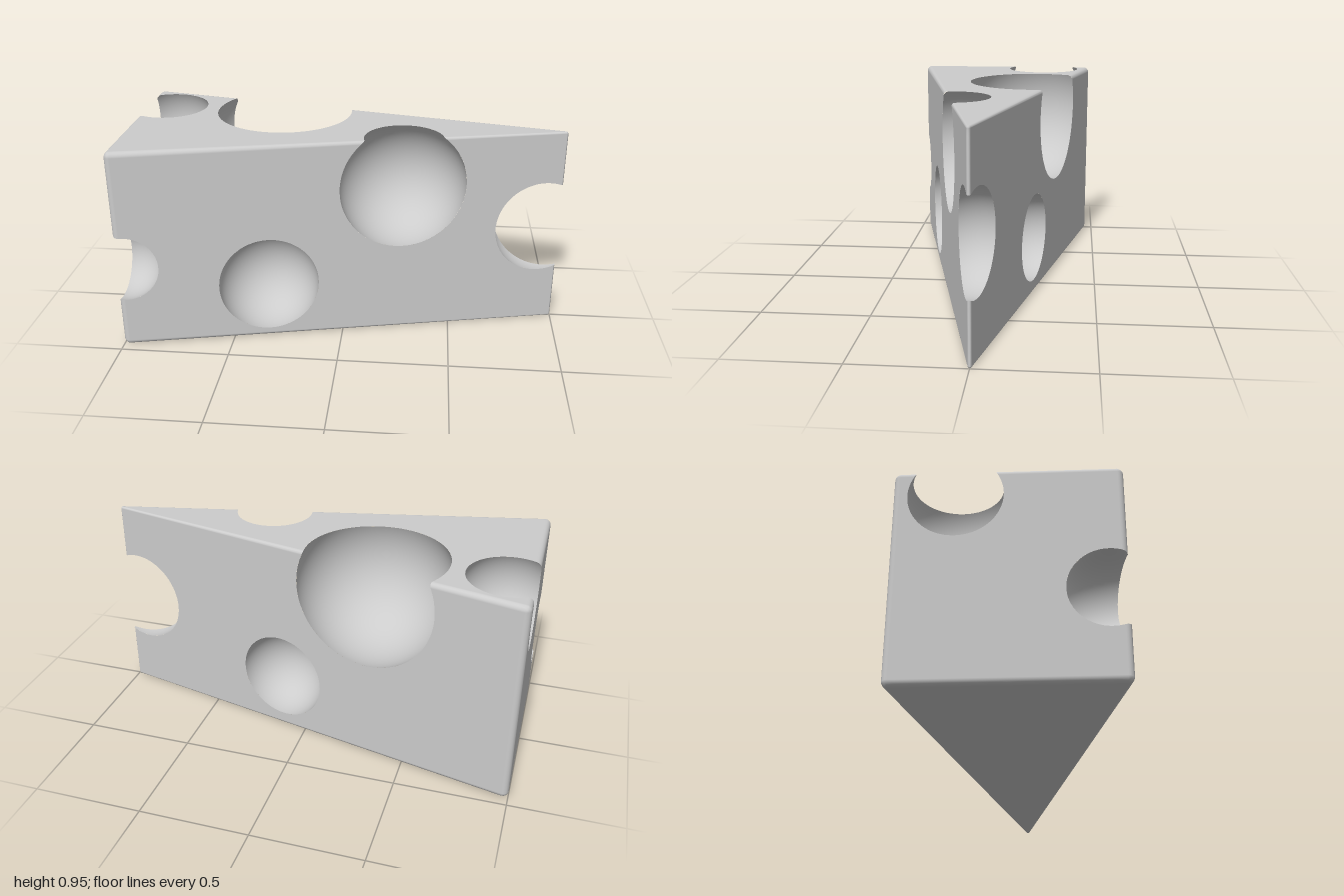
import * as THREE from 'three';
import { ConvexGeometry } from 'three/addons/geometries/ConvexGeometry.js';

const V = (x, y, z) => new THREE.Vector3(x, y, z);
const HEIGHT = 0.95;
const SLOPE = 0.23;      // taper of the two long sides
const APEX = 1.03;       // where the long sides would meet
const EDGE = 0.025;      // rounding of the block edges
const TIP = 0.0087;      // rounding of the thin tip

// Spherical holes: name, centre, radius
const HOLES = [
  ['frontLowHole', V(-0.335, 0.27, 0.30), 0.23],
  ['frontTopHole', V(0.268, 0.72, 0.16), 0.291],
  ['tipHole', V(0.912, 0.484, 0), 0.224],
  ['frontCornerHole', V(-0.98, 0.393, 0.39), 0.17],
  ['backLowHole', V(0.12, 0.268, -0.205), 0.208],
  ['backTopHole', V(-0.315, 0.799, -0.185), 0.354],
  ['topCornerHole', V(-0.89, 0.832, -0.21), 0.222],
];

// Points and normals of the rounded corners, blended between each corner's three faces
function roundedCorners() {
  const front = V(SLOPE, 0, 1).normalize();
  const back = V(SLOPE, 0, -1).normalize();
  const end = V(-1, 0, 0);
  const x = -1 + EDGE;
  const z = SLOPE * (APEX - x) - EDGE / front.z;
  const out = [];
  const N = 4;
  for (const up of [1, -1]) {
    for (const [cx, cz, r, a, b] of [
      [x, z, EDGE, front, end], [x, -z, EDGE, back, end], [1 - TIP, 0, TIP, front, back],
    ]) {
      const centre = V(cx, up > 0 ? HEIGHT - r : r, cz);
      for (let i = 0; i <= N; i++) {
        for (let j = 0; i + j <= N; j++) {
          const n = V(0, up * (N - i - j), 0).addScaledVector(a, i).addScaledVector(b, j).normalize();
          out.push({ p: centre.clone().addScaledVector(n, r), n });
        }
      }
    }
  }
  return out;
}

const mix = (a, b, t) => ({ p: a.p.clone().lerp(b.p, t), n: a.n.clone().lerp(b.n, t).normalize() });

// Keep the part of a polygon where f >= 0
function clip(poly, f) {
  const d = poly.map((v) => f(v.p));
  if (d.every((s) => s >= 0)) return poly;
  if (d.every((s) => s < 0)) return [];
  const out = [];
  poly.forEach((a, i) => {
    const k = (i + 1) % poly.length;
    const b = poly[k];
    if (d[i] >= 0) out.push(a);
    if ((d[i] >= 0) !== (d[k] >= 0)) {
      let lo = 0, hi = 1;
      for (let s = 0; s < 18; s++) {
        const m = (lo + hi) / 2;
        if ((f(a.p.clone().lerp(b.p, m)) >= 0) === (d[i] >= 0)) lo = m; else hi = m;
      }
      out.push(mix(a, b, (lo + hi) / 2));
    }
  });
  return out;
}

// Halve the longest edge until every triangle is small
function subdivide(tri, max, out) {
  const len = tri.map((v, i) => v.p.distanceTo(tri[(i + 1) % 3].p));
  const i = len.indexOf(Math.max(...len));
  if (len[i] <= max) { out.push(tri); return; }
  const a = tri[i], b = tri[(i + 1) % 3], c = tri[(i + 2) % 3];
  const m = mix(a, b, 0.5);
  subdivide([a, m, c], max, out);
  subdivide([m, b, c], max, out);
}

// Split a non-indexed geometry into triangles of { p, n }
function triangles(geometry, normalAt) {
  const pos = geometry.attributes.position;
  const out = [];
  for (let i = 0; i < pos.count; i += 3) {
    out.push([0, 1, 2].map((k) => {
      const p = V().fromBufferAttribute(pos, i + k);
      return { p, n: normalAt(p) };
    }));
  }
  return out;
}

function meshFrom(name, polys) {
  const pos = [], nor = [];
  for (const poly of polys) {
    for (let i = 1; i + 1 < poly.length; i++) {
      for (const v of [poly[0], poly[i], poly[i + 1]]) {
        pos.push(v.p.x, v.p.y, v.p.z);
        nor.push(v.n.x, v.n.y, v.n.z);
      }
    }
  }
  const g = new THREE.BufferGeometry();
  g.setAttribute('position', new THREE.Float32BufferAttribute(pos, 3));
  g.setAttribute('normal', new THREE.Float32BufferAttribute(nor, 3));
  const mesh = new THREE.Mesh(g, new THREE.MeshStandardMaterial({ color: 0xcccccc }));
  mesh.name = name;
  return mesh;
}

export function createModel() {
  const group = new THREE.Group();
  group.name = 'cheeseWedge';
  const corners = roundedCorners();
  const outside = ([, c, r]) => (p) => p.distanceToSquared(c) - r * r;

  // Rounded wedge with the holes cut out of its skin
  const nearestNormal = (p) => corners.reduce((best, c) =>
    (c.p.distanceToSquared(p) < best.p.distanceToSquared(p) ? c : best)).n.clone();
  const skin = [];
  const hull = new ConvexGeometry(corners.map((c) => c.p));
  for (const tri of triangles(hull, nearestNormal)) subdivide(tri, 0.035, skin);
  group.add(meshFrom('wedge', skin.map((tri) =>
    HOLES.reduce((poly, hole) => (poly.length ? clip(poly, outside(hole)) : poly), tri))));

  // Hollow sphere walls, trimmed to the inside of the wedge
  for (const hole of HOLES) {
    const [name, c, r] = hole;
    const ball = new THREE.SphereGeometry(r, 64, 40).toNonIndexed().translate(c.x, c.y, c.z);
    const cuts = corners.map(({ p, n }) => (q) => n.dot(p) - n.dot(q));
    for (const other of HOLES) if (other !== hole) cuts.push(outside(other));
    const wall = triangles(ball, (p) => c.clone().sub(p).normalize()).map((tri) =>
      cuts.reduce((poly, f) => (poly.length ? clip(poly, f) : poly), tri.reverse()));
    group.add(meshFrom(name, wall));
  }
  return group;
}
